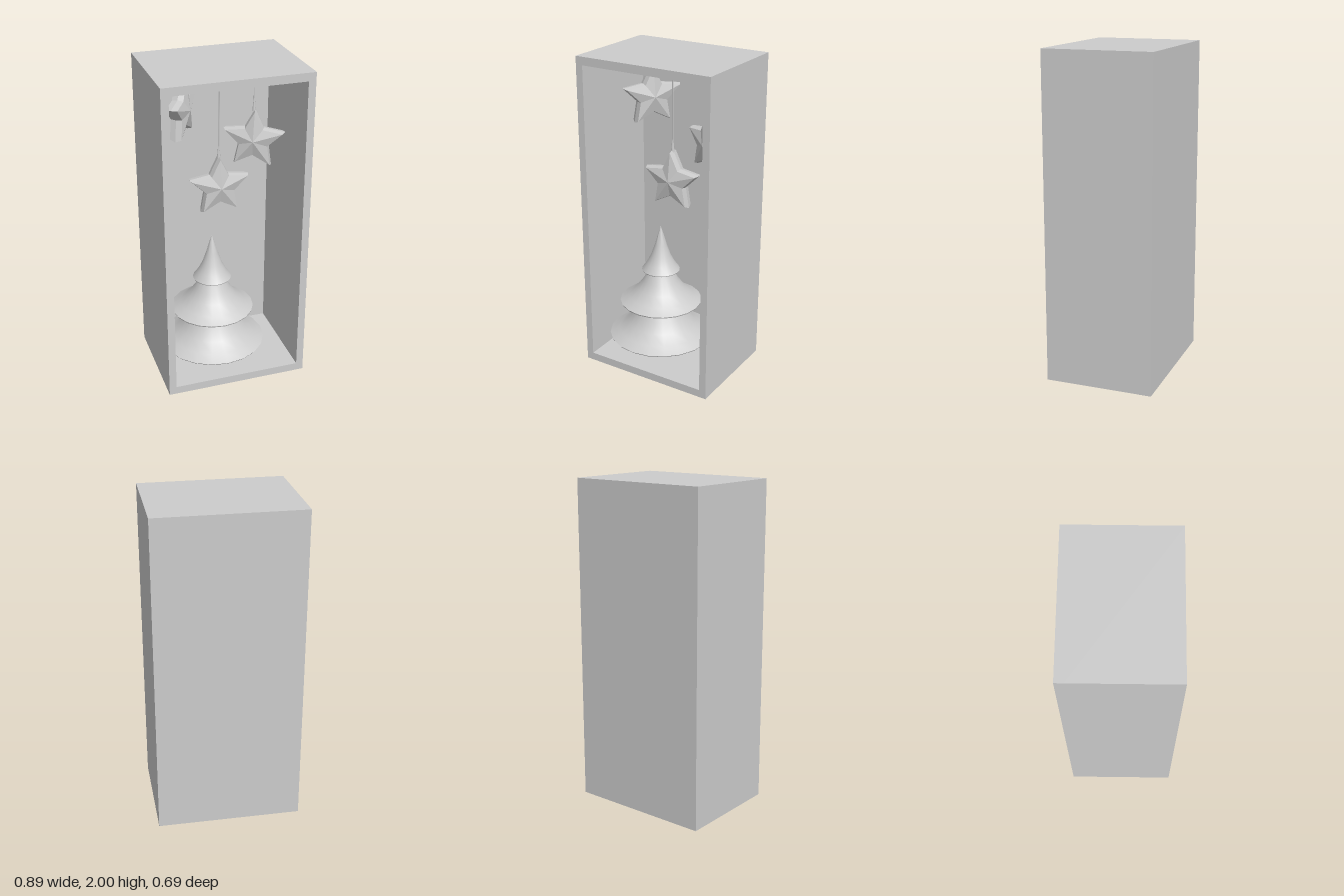
import * as THREE from 'three';
import { toCreasedNormals } from 'three/addons/utils/BufferGeometryUtils.js';

const smooth = new THREE.MeshStandardMaterial({ color: 0xcccccc });
const faceted = new THREE.MeshStandardMaterial({ color: 0xcccccc, flatShading: true });

function add(parent, name, geometry, material, x = 0, y = 0, z = 0) {
  const mesh = new THREE.Mesh(geometry, material);
  mesh.name = name;
  mesh.position.set(x, y, z);
  parent.add(mesh);
  return mesh;
}

function rectangle(PathType, x, y0, y1) {
  const p = new PathType();
  p.moveTo(-x, y0);
  p.lineTo(x, y0);
  p.lineTo(x, y1);
  p.lineTo(-x, y1);
  p.closePath();
  return p;
}

// Five-pointed star: widest round the middle, bevelled to a raised centre on both faces
function starGeometry() {
  const rings = [[0.182, -0.035], [0.197, 0], [0.182, 0.035]];
  const positions = [];
  const point = ([radius, z], i) => {
    const a = Math.PI / 2 + i * Math.PI / 5;
    const r = i % 2 ? radius * 0.5 : radius;
    return [r * Math.cos(a), r * Math.sin(a), z];
  };
  const triangle = (a, b, c) => positions.push(...a, ...b, ...c);
  for (let i = 0; i < 10; i++) {
    for (let k = 0; k < 2; k++) {
      const a = point(rings[k], i), b = point(rings[k], i + 1);
      const c = point(rings[k + 1], i + 1), d = point(rings[k + 1], i);
      triangle(a, b, c);
      triangle(a, c, d);
    }
    triangle([0, 0, 0.06], point(rings[2], i), point(rings[2], i + 1));
    triangle([0, 0, -0.06], point(rings[0], i + 1), point(rings[0], i));
  }
  const g = new THREE.BufferGeometry();
  g.setAttribute('position', new THREE.Float32BufferAttribute(positions, 3));
  g.computeVertexNormals();
  return g;
}

export function createModel() {
  const model = new THREE.Group();
  model.name = 'festiveShadowBox';

  // Open-fronted case
  const outline = rectangle(THREE.Shape, 0.445, 0, 2);
  outline.holes.push(rectangle(THREE.Path, 0.4, 0.05, 1.95));
  add(model, 'caseWalls', new THREE.ExtrudeGeometry(outline, { depth: 0.615, bevelEnabled: false }),
    faceted, 0, 0, -0.295);
  add(model, 'backPanel', new THREE.BoxGeometry(0.89, 2, 0.05), faceted, 0, 1, -0.32);

  // Tree: flared trunk and three concave tiers, each with a thin rim
  const tree = new THREE.Group();
  tree.name = 'tree';
  tree.position.set(-0.07, 0, 0.015);
  model.add(tree);
  const turned = (name, profile) => add(tree, name, toCreasedNormals(
    new THREE.LatheGeometry(profile.map(([r, y]) => new THREE.Vector2(r, y)), 20), 0.7), smooth);

  turned('trunk', [[0, 0.05], [0.118, 0.05], [0.083, 0.085], [0.062, 0.12], [0.05, 0.19]]);
  turned('lowerTier', [[0, 0.185], [0.27, 0.18], [0.325, 0.168], [0.33, 0.175], [0.27, 0.209],
    [0.21, 0.258], [0.165, 0.32], [0.12, 0.41], [0, 0.42]]);
  turned('middleTier', [[0, 0.415], [0.21, 0.412], [0.257, 0.402], [0.26, 0.41], [0.205, 0.443],
    [0.15, 0.495], [0.11, 0.55], [0.075, 0.625], [0, 0.64]]);
  turned('upperTier', [[0, 0.628], [0.1, 0.625], [0.118, 0.618], [0.12, 0.623], [0.09, 0.665],
    [0.062, 0.72], [0.038, 0.79], [0.018, 0.86], [0, 0.915]]);

  // Hanging stars: x, y, z, turn, roll
  const geometry = starGeometry();
  const stars = [
    ['leftHungStar', -0.215, 1.7, -0.115, 0.99, 0],
    ['middleHungStar', -0.01, 1.22, -0.03, 0, 0],
    ['rightHungStar', 0.225, 1.48, -0.07, -0.44, -0.04],
  ];
  for (const [name, x, y, z, turn, roll] of stars) {
    const group = new THREE.Group();
    group.name = name;
    group.position.set(x, y, z);
    model.add(group);
    add(group, 'star', geometry, faceted).rotation.set(0, turn, roll);
    const top = 0.18, length = 1.955 - y - top;
    add(group, 'string', new THREE.CylinderGeometry(0.004, 0.004, length, 8), smooth, 0, top + length / 2, 0);
    // Tapered knot where the string meets the star
    const knot = Math.min(0.08, length);
    add(group, 'stringKnot', new THREE.CylinderGeometry(0.004, 0.012, knot, 8), smooth, 0, top + knot / 2, 0);
  }
  return model;
}
